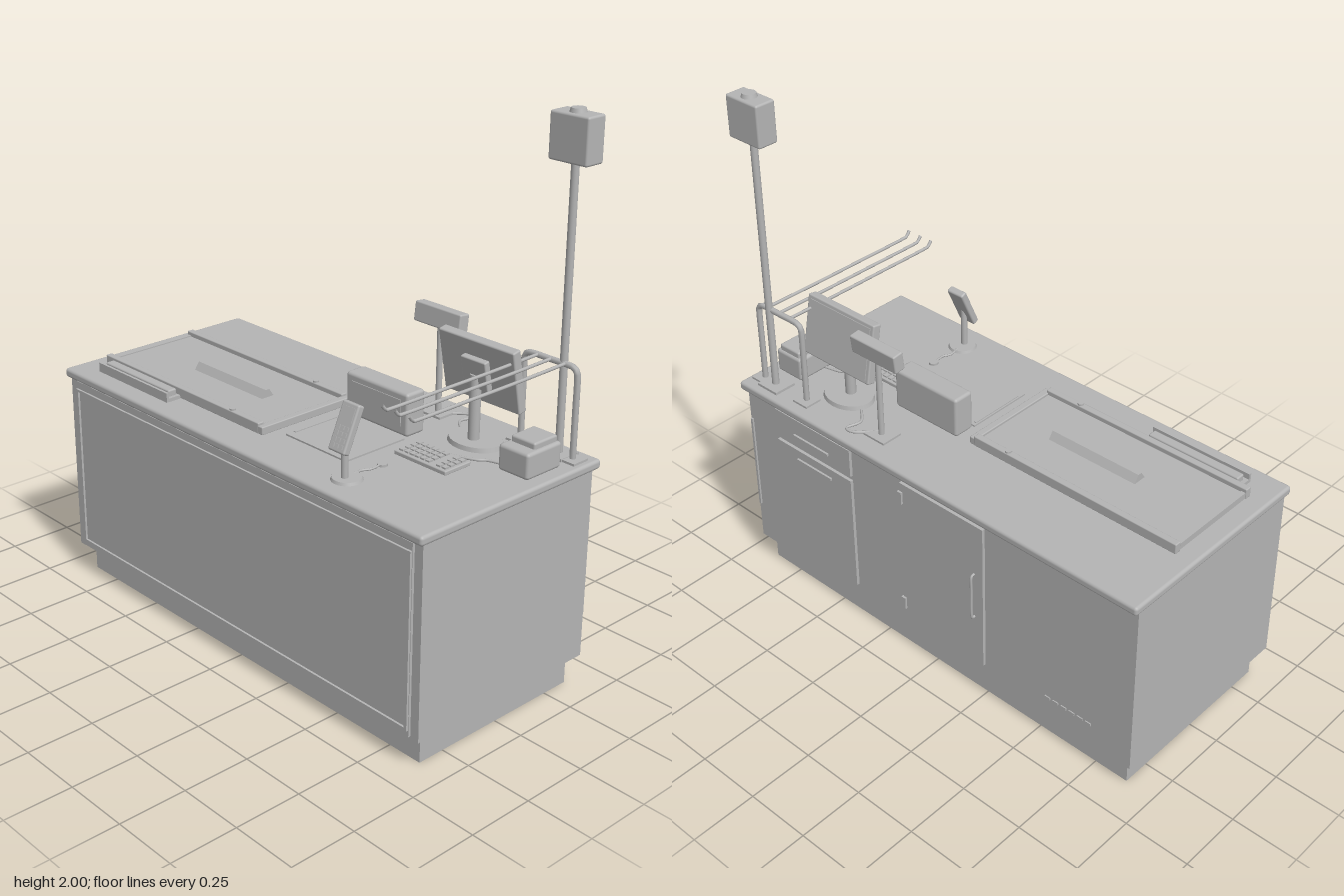
import * as THREE from 'three';
import { RoundedBoxGeometry } from 'three/addons/geometries/RoundedBoxGeometry.js';

export function createModel() {
  const model = new THREE.Group();
  model.name = 'checkoutCounter';
  const grey = new THREE.MeshStandardMaterial({ color: 0xb4b4b4 });
  grey.name = 'plainGrey';

  const add = (name, geometry, x = 0, y = 0, z = 0, parent = model) => {
    const mesh = new THREE.Mesh(geometry, grey);
    mesh.name = name;
    mesh.position.set(x, y, z);
    parent.add(mesh);
    return mesh;
  };
  // Box given by its limits on each axis, optionally with rounded edges
  const box = (name, x0, x1, y0, y1, z0, z1, r = 0, parent = model) => {
    const s = [x1 - x0, y1 - y0, z1 - z0];
    const g = r ? new RoundedBoxGeometry(...s, 2, r) : new THREE.BoxGeometry(...s);
    return add(name, g, (x0 + x1) / 2, (y0 + y1) / 2, (z0 + z1) / 2, parent);
  };
  // Upright cylinder from y0 to y1
  const post = (name, x, z, y0, y1, r, rTop = r) =>
    add(name, new THREE.CylinderGeometry(rTop, r, y1 - y0, 24), x, (y0 + y1) / 2, z);
  const tube = (name, points, r, tension = 0.5) => {
    const path = new THREE.CatmullRomCurve3(points.map(p => new THREE.Vector3(...p)), false, 'catmullrom', tension);
    return add(name, new THREE.TubeGeometry(path, 48, r, 8), 0, 0, 0);
  };

  // Cabinet
  box('plinth', -0.885, 0.885, 0, 0.11, -0.355, 0.355);
  box('cabinetBody', -0.92, 0.92, 0.11, 0.807, -0.39, 0.385);
  box('countertop', -0.932, 0.932, 0.807, 0.842, -0.42, 0.42, 0.012);

  // Front: corner posts and a framed panel
  for (const s of [-1, 1]) {
    box('cornerPost', s * 0.9025 - 0.0175, s * 0.9025 + 0.0175, 0.11, 0.807, 0.38, 0.4);
    box('panelSideTrim', s * 0.872 - 0.006, s * 0.872 + 0.006, 0.14, 0.77, 0.4, 0.412);
  }
  box('frontPanel', -0.88, 0.88, 0.115, 0.8, 0.38, 0.404);
  box('panelTopTrim', -0.878, 0.878, 0.762, 0.772, 0.4, 0.412);
  box('panelBottomTrim', -0.878, 0.878, 0.138, 0.148, 0.4, 0.412);

  // Back: drawer, doors, lock strip and vent
  box('drawer', 0.37, 0.76, 0.675, 0.79, -0.402, -0.385);
  box('drawerPull', 0.48, 0.66, 0.715, 0.725, -0.41, -0.4);
  box('wideDoor', 0.37, 0.76, 0.17, 0.655, -0.402, -0.385);
  box('wideDoorPull', 0.47, 0.65, 0.61, 0.62, -0.41, -0.4);
  box('narrowDoor', -0.27, 0.12, 0.17, 0.78, -0.402, -0.385);
  tube('doorHandle', [[-0.23, 0.38, -0.4], [-0.23, 0.39, -0.416], [-0.23, 0.5, -0.416], [-0.23, 0.56, -0.416], [-0.23, 0.57, -0.4]], 0.005);
  for (const y of [0.24, 0.72]) box('doorHinge', 0.105, 0.125, y - 0.025, y + 0.025, -0.41, -0.4);
  box('lockStrip', 0.906, 0.916, 0.27, 0.67, -0.397, -0.385);
  for (let i = 0; i < 6; i++) box('ventSlot', -0.75 + i * 0.036, -0.726 + i * 0.036, 0.195, 0.205, -0.394, -0.388);

  // Conveyor with side rails and goods divider
  box('conveyorBelt', -0.84, 0.01, 0.84, 0.862, -0.11, 0.26);
  for (const z of [-0.118, 0.268]) {
    box('conveyorRail', -0.86, 0.02, 0.84, 0.88, z - 0.013, z + 0.013, 0.004);
    post('railSensor', -0.13, z, 0.878, 0.886, 0.011);
  }
  box('conveyorEnd', 0.012, 0.04, 0.84, 0.87, -0.13, 0.28, 0.004);
  box('conveyorStart', -0.856, -0.838, 0.84, 0.866, -0.11, 0.26);
  const dividerShape = new THREE.Shape([[-0.027, 0], [0.027, 0], [0.008, 0.028], [-0.008, 0.028]].map(p => new THREE.Vector2(...p)));
  const divider = add('goodsDivider', new THREE.ExtrudeGeometry(dividerShape, { depth: 0.38, bevelEnabled: false }), -0.55, 0.862, 0.076);
  divider.rotation.y = Math.PI / 2;
  box('dividerTray', -0.815, -0.405, 0.84, 0.855, 0.285, 0.345);
  box('dividerTrayLip', -0.815, -0.405, 0.84, 0.877, 0.335, 0.345);
  box('spareDivider', -0.8, -0.42, 0.85, 0.878, 0.289, 0.325, 0.006);

  // Scanner: flat glass and upright tower
  box('scannerPlate', 0.092, 0.39, 0.84, 0.848, -0.05, 0.22);
  box('scannerSlit', 0.098, 0.108, 0.846, 0.851, -0.035, 0.19);
  box('scannerTower', 0.09, 0.39, 0.845, 1.002, -0.145, -0.06, 0.012);
  box('scannerWindow', 0.12, 0.36, 0.88, 0.975, -0.063, -0.057);

  // Price display on a pole
  box('displayFoot', 0.25, 0.35, 0.84, 0.85, -0.345, -0.26);
  post('displayPole', 0.3, -0.305, 0.845, 1.17, 0.011);
  const display = box('priceDisplay', 0.19, 0.405, 1.158, 1.23, -0.332, -0.287, 0.006);
  display.rotation.x = -0.12;

  // Tilted cashier monitor on its stand
  const monitor = new THREE.Group();
  monitor.name = 'monitor';
  monitor.position.set(0.562, 1.1, -0.232);
  monitor.rotation.x = 0.19;
  model.add(monitor);
  box('monitorCase', -0.167, 0.167, -0.115, 0.115, -0.018, 0.018, 0.006, monitor);
  box('monitorScreen', -0.152, 0.152, -0.1, 0.1, -0.021, -0.015, 0, monitor);
  box('monitorMount', -0.055, 0.055, -0.055, 0.055, 0.015, 0.04, 0.005, monitor);
  post('monitorPost', 0.56, -0.205, 0.85, 1.09, 0.02);
  const foot = post('monitorFoot', 0.56, -0.215, 0.84, 0.858, 0.105, 0.1);
  foot.scale.z = 0.8;

  // Keyboard with rows of keys
  box('keyboard', 0.445, 0.678, 0.84, 0.856, -0.065, 0.055, 0.004);
  for (let r = 0; r < 4; r++) for (let c = 0; c < 9; c++) {
    const x = 0.466 + c * 0.024, z = -0.045 + r * 0.026;
    if (c !== 6) box('key', x - 0.009, x + 0.009, 0.854, 0.862, z - 0.01, z + 0.01);
  }

  // Payment terminal on a round stand, with a small sensor puck
  post('terminalFoot', 0.485, 0.305, 0.84, 0.852, 0.055, 0.05);
  post('terminalPost', 0.485, 0.315, 0.85, 1, 0.012);
  const terminal = new THREE.Group();
  terminal.name = 'paymentTerminal';
  terminal.position.set(0.485, 1.022, 0.31);
  terminal.rotation.x = -0.42;
  model.add(terminal);
  box('terminalCase', -0.038, 0.038, -0.083, 0.083, -0.014, 0.014, 0.007, terminal);
  box('terminalScreen', -0.029, 0.029, 0.02, 0.068, 0.012, 0.017, 0, terminal);
  for (let r = 0; r < 4; r++) for (let c = -1; c <= 1; c++)
    box('terminalKey', c * 0.019 - 0.007, c * 0.019 + 0.007, -0.068 + r * 0.02, -0.055 + r * 0.02, 0.012, 0.018, 0, terminal);
  post('sensorPuck', 0.485, 0.147, 0.84, 0.85, 0.018);
  tube('terminalCable', [[0.485, 0.846, 0.16], [0.488, 0.846, 0.2], [0.475, 0.846, 0.23], [0.48, 0.85, 0.27]], 0.004);

  // Receipt printer
  box('printerBase', 0.757, 0.885, 0.842, 0.935, -0.27, -0.105, 0.012);
  box('printerLid', 0.77, 0.872, 0.925, 0.957, -0.262, -0.15, 0.008);

  // Bag rack: arch with feet, and three hanging rods
  tube('rackArch', [[0.65, 0.842, -0.34], [0.65, 1.0, -0.34], [0.65, 1.135, -0.34], [0.658, 1.157, -0.34], [0.68, 1.165, -0.34],
    [0.76, 1.165, -0.34], [0.845, 1.165, -0.34], [0.867, 1.157, -0.34], [0.875, 1.135, -0.34], [0.875, 1.0, -0.34], [0.875, 0.842, -0.34]], 0.011);
  for (const x of [0.65, 0.875]) box('rackFoot', x - 0.035, x + 0.035, 0.84, 0.85, -0.375, -0.305);
  for (const x of [0.71, 0.765, 0.825])
    tube('bagRod', [[x, 1.168, -0.34], [x, 1.165, -0.1], [x, 1.165, 0.1], [x, 1.165, 0.33], [x, 1.17, 0.36], [x, 1.187, 0.375]], 0.006);

  // Tall pole with the lane light
  box('lightPoleFoot', 0.76, 0.86, 0.84, 0.852, -0.39, -0.3);
  post('lightPole', 0.812, -0.345, 0.845, 1.84, 0.0135);
  box('laneLight', 0.733, 0.888, 1.83, 1.986, -0.386, -0.304, 0.008);
  post('laneLightCap', 0.812, -0.345, 1.98, 2, 0.03, 0.024);

  // Loose cables
  tube('displayCable', [[0.32, 0.846, -0.3], [0.38, 0.846, -0.36], [0.42, 0.846, -0.36], [0.41, 0.846, -0.3], [0.46, 0.846, -0.25]], 0.005);
  tube('keyboardCable', [[0.56, 0.846, -0.06], [0.66, 0.846, -0.1], [0.7, 0.846, -0.13], [0.78, 0.846, -0.15]], 0.005);
  return model;
}
